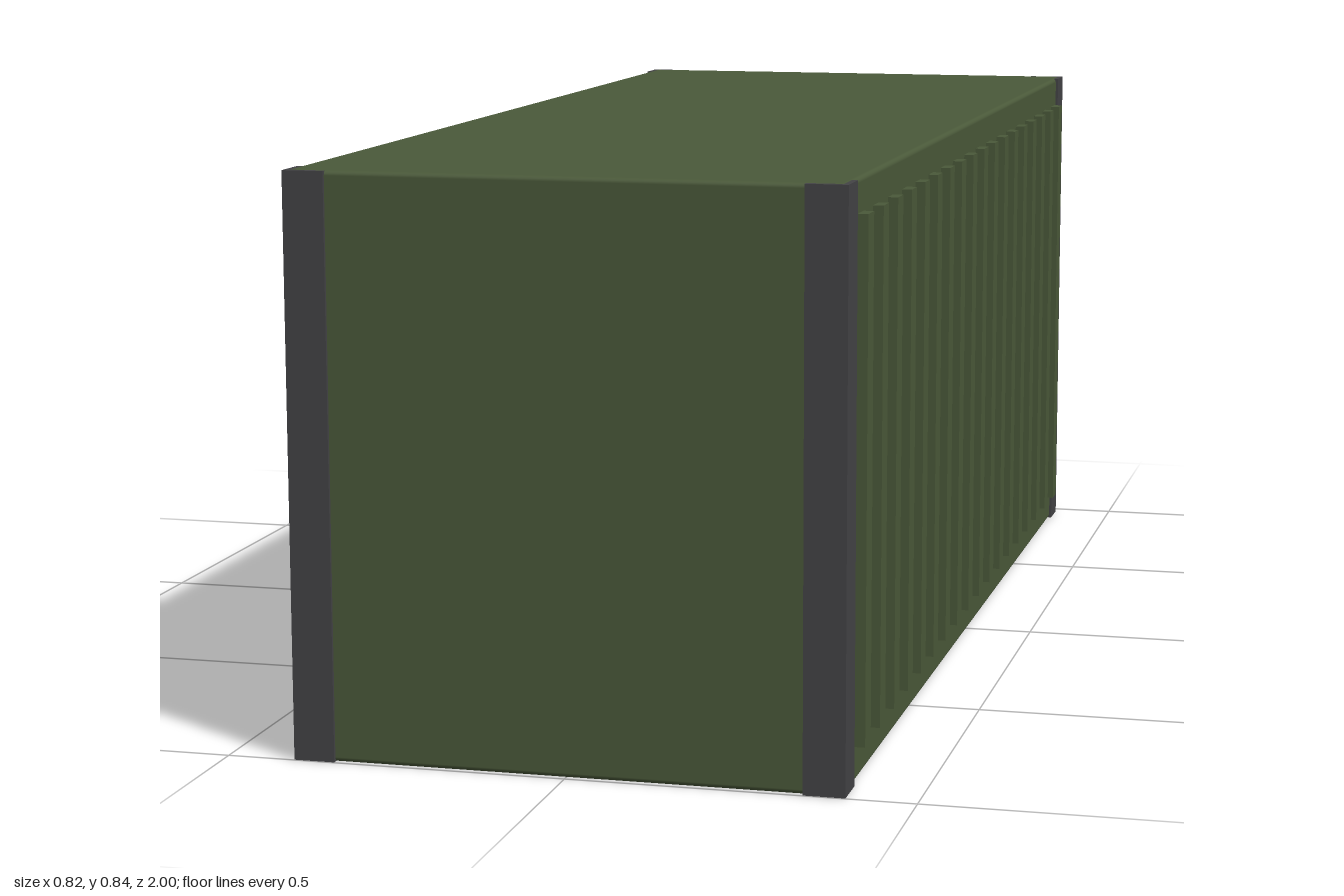
import * as THREE from 'three';
import { RoundedBoxGeometry } from 'three/addons/geometries/RoundedBoxGeometry.js';

export function createModel() {
  const model = new THREE.Group();
  model.name = 'shippingContainer';

  const paint = new THREE.MeshStandardMaterial({ color: 0x4b5a3a });
  paint.name = 'olivePaint';
  const steel = new THREE.MeshStandardMaterial({ color: 0x444446 });
  steel.name = 'greySteel';
  const dark = new THREE.MeshStandardMaterial({ color: 0x2a2a2c });
  dark.name = 'darkSteel';

  function add(name, geometry, material, x, y, z) {
    const mesh = new THREE.Mesh(geometry, material);
    mesh.name = name;
    mesh.position.set(x, y, z);
    model.add(mesh);
  }

  const height = 0.842, midY = height / 2;
  const frontZ = 1, backZ = -0.975;
  const midZ = (frontZ + backZ) / 2;

  // Body with softened edges, set slightly inside the corner posts
  add('body', new RoundedBoxGeometry(0.792, height, frontZ - backZ - 0.01, 2, 0.007),
    paint, 0, midY, midZ);

  // Corner posts
  const post = new THREE.BoxGeometry(0.06, height - 0.001, 0.06);
  for (const x of [-0.37, 0.37]) {
    for (const z of [frontZ - 0.03, backZ + 0.03]) add('cornerPost', post, steel, x, midY, z);
  }

  // Vertical ribs along both long sides
  const rib = new THREE.BoxGeometry(0.03, 0.743, 0.038);
  const ribCount = 18;
  for (const side of [-1, 1]) {
    for (let i = 0; i < ribCount; i++) {
      const z = THREE.MathUtils.lerp(-0.875, 0.902, i / (ribCount - 1));
      add('sideRib', rib, paint, side * 0.396, 0.4225, z);
    }
  }

  // Door seam and locking rods on the back
  add('doorSeam', new THREE.BoxGeometry(0.01, 0.77, 0.018), dark, 0, 0.425, -0.974);
  const rod = new THREE.CylinderGeometry(0.0065, 0.0065, 0.71, 8);
  for (const x of [-0.28, -0.093, 0.093, 0.28]) add('lockingRod', rod, dark, x, 0.425, -0.9935);

  return model;
}
